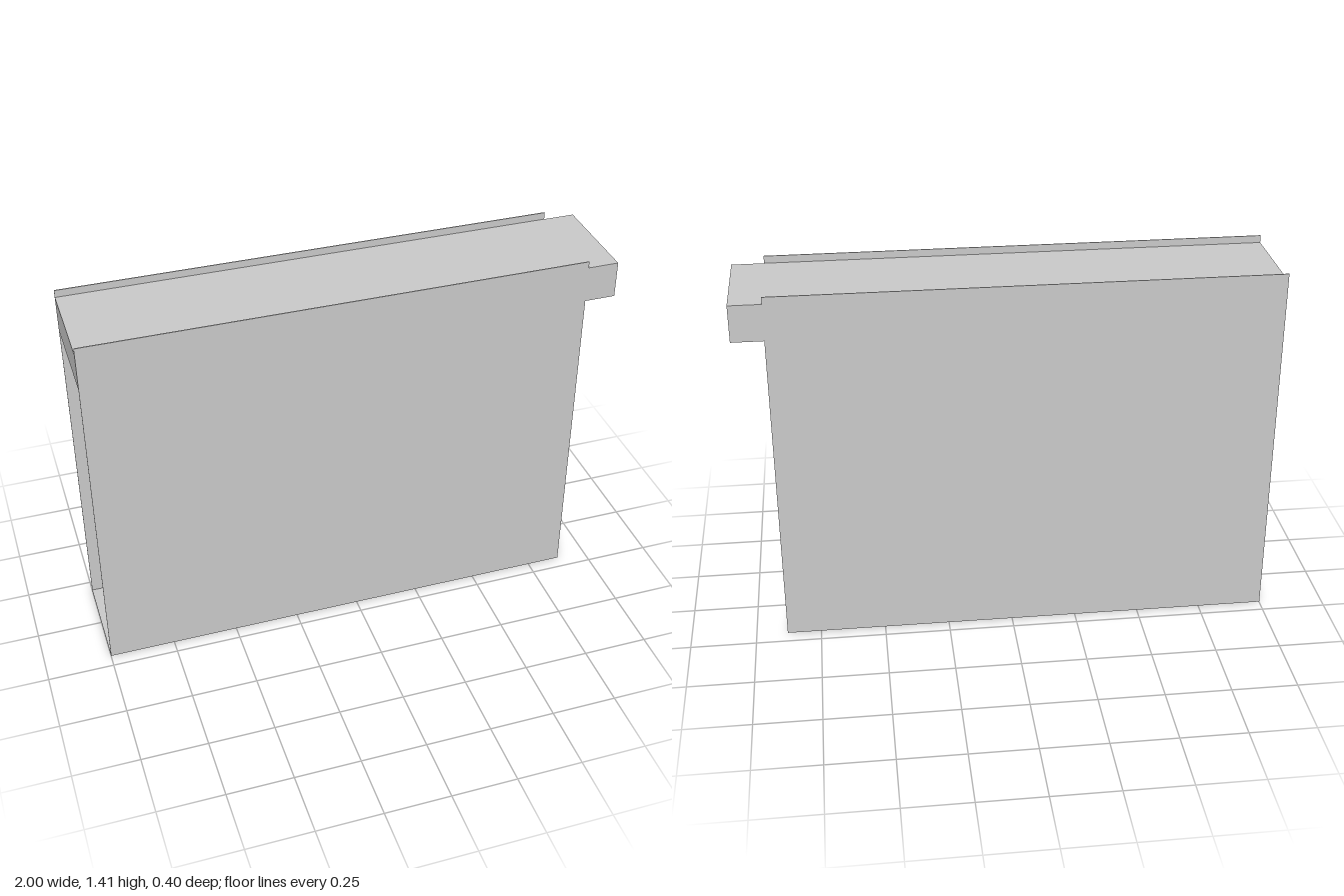
import * as THREE from 'three';

export function createModel() {
  const group = new THREE.Group();
  const material = new THREE.MeshStandardMaterial({ color: 0xcccccc, flatShading: true, side: THREE.DoubleSide });
  const add = (name, geometry, x, y, z) => {
    const mesh = new THREE.Mesh(geometry, material);
    mesh.name = name;
    mesh.position.set(x, y, z);
    group.add(mesh);
  };
  const t = 0.004; // sheet thickness

  // thin side panels
  for (const [name, s] of [['frontPanel', 1], ['backPanel', -1]]) {
    add(name, new THREE.BoxGeometry(1.88, 1.41, t), -0.06, 0.708, s * (0.2 - t / 2));
  }

  // long top slab, jutting out past the panels on the left
  add('topSlab', new THREE.BoxGeometry(2, 0.14, 0.392), 0, 1.315, 0);

  // folded sheet: floor, then equal steps climbing to the slab
  const rise = 1.245 / 4, run = 0.31, firstRiser = -0.41;
  const lower = [[-1, 0]];
  for (let i = 0; i < 4; i++) {
    const x = firstRiser + i * run;
    lower.push([x, i * rise], [x, (i + 1) * rise]);
  }
  const upper = lower.map(([x, y], i) => [i ? x - t : x, i === 8 ? y : y + t]).reverse();
  const outline = new THREE.Shape([...lower, ...upper].map(([x, y]) => new THREE.Vector2(x, y)));
  const steps = new THREE.ExtrudeGeometry(outline, { depth: 0.392, bevelEnabled: false });
  add('steppedSheet', steps, 0, 0, -0.196);

  return group;
}
